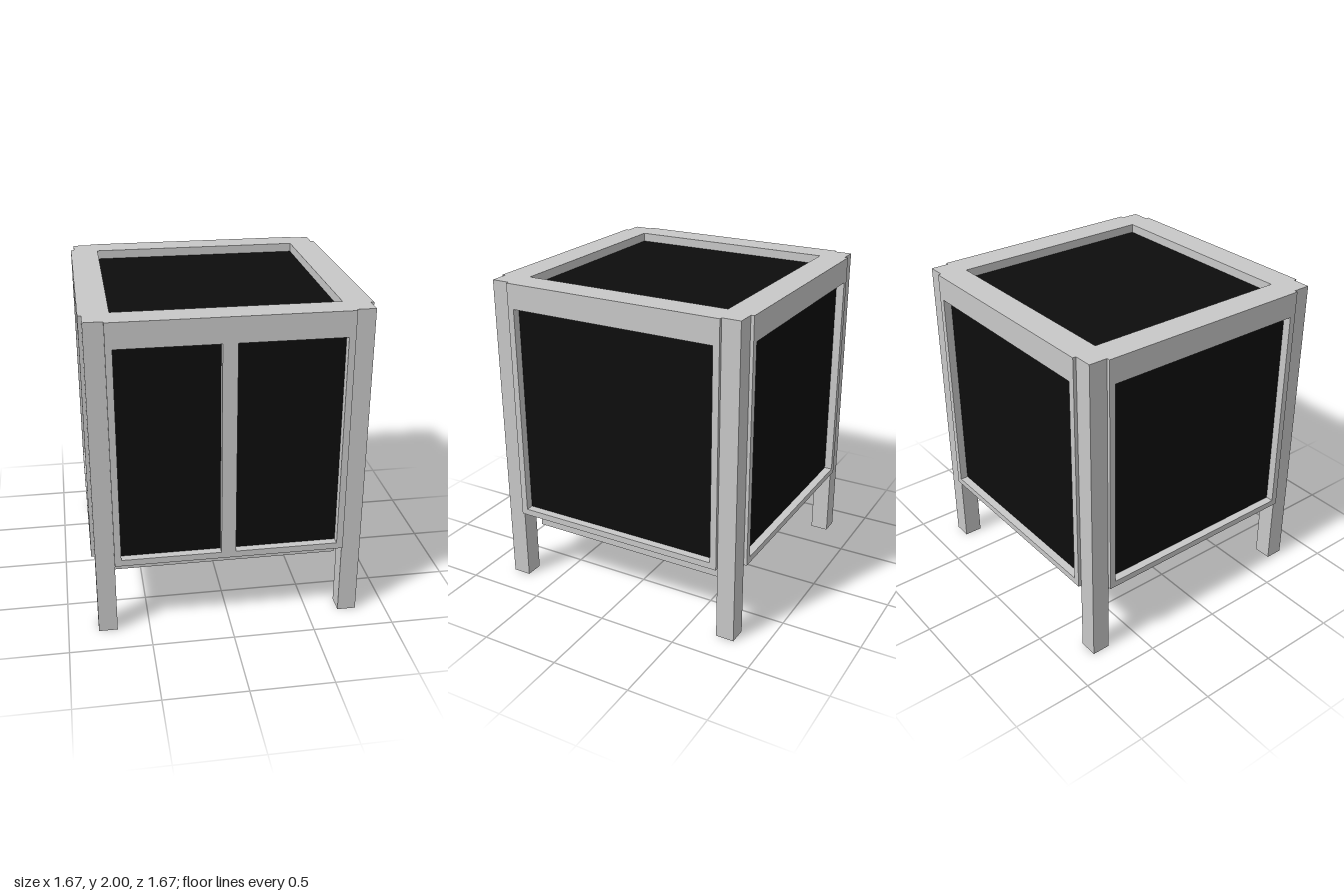
import * as THREE from 'three';

const frameMat = new THREE.MeshStandardMaterial({ color: 0xc8c8c8 });
frameMat.name = 'light grey frame';
const panelMat = new THREE.MeshStandardMaterial({ color: 0x0d0d0d });
panelMat.name = 'black panel';

function box(name, mat, size, pos) {
  const mesh = new THREE.Mesh(new THREE.BoxGeometry(...size), mat);
  mesh.name = name;
  mesh.position.set(...pos);
  return mesh;
}

function rectPoints(x0, y0, x1, y1) {
  return [[x0, y0], [x1, y0], [x1, y1], [x0, y1]].map(([x, y]) => new THREE.Vector2(x, y));
}

// Frame with rectangular openings [x0, y0, x1, y1] facing +z, and a recessed panel behind it
function framedPanel(name, outer, holes, z0, z1, recess) {
  const group = new THREE.Group();
  group.name = name;
  const shape = new THREE.Shape(rectPoints(...outer));
  for (const h of holes) shape.holes.push(new THREE.Path(rectPoints(...h)));
  const geo = new THREE.ExtrudeGeometry(shape, { depth: z1 - z0, bevelEnabled: false });
  geo.translate(0, 0, z0);
  const frame = new THREE.Mesh(geo, frameMat);
  frame.name = name + 'Frame';
  group.add(frame);
  const [x0, y0, x1, y1] = outer;
  group.add(box(name + 'Panel', panelMat, [x1 - x0 - 0.04, y1 - y0 - 0.04, 0.03],
    [(x0 + x1) / 2, (y0 + y1) / 2, z1 - recess - 0.015]));
  return group;
}

export function createModel() {
  const model = new THREE.Group();
  model.name = 'cabinet';

  // Four full-height corner posts
  for (const x of [-1, 1]) for (const z of [-1, 1]) {
    model.add(box('cornerLeg', frameMat, [0.115, 2, 0.115], [x * 0.757, 1, z * 0.757]));
  }

  // Side walls: two openings at the front, one on each other side
  const wall = [-0.7, 0.47, 0.7, 2];
  const single = [[-0.66, 0.51, 0.66, 1.845]];
  const pair = [[-0.66, 0.51, -0.055, 1.845], [0.033, 0.51, 0.66, 1.845]];
  ['front', 'left', 'back', 'right'].forEach((name, i) => {
    const side = framedPanel(name, wall, i === 0 ? pair : single, 0.7, 0.835, 0.05);
    side.rotation.y = i * Math.PI / 2;
    model.add(side);
  });

  // Top with recessed panel
  const top = framedPanel('top', [-0.7, -0.7, 0.7, 0.7], [[-0.66, -0.66, 0.66, 0.66]], 1.87, 2, 0.055);
  top.rotation.x = -Math.PI / 2;
  model.add(top);

  // Base tray with its opening facing down
  const base = framedPanel('base', [-0.7, -0.655, 0.7, 0.655], [[-0.66, -0.615, 0.66, 0.615]], -0.55, -0.335, 0.05);
  base.rotation.x = Math.PI / 2;
  model.add(base);

  return model;
}
